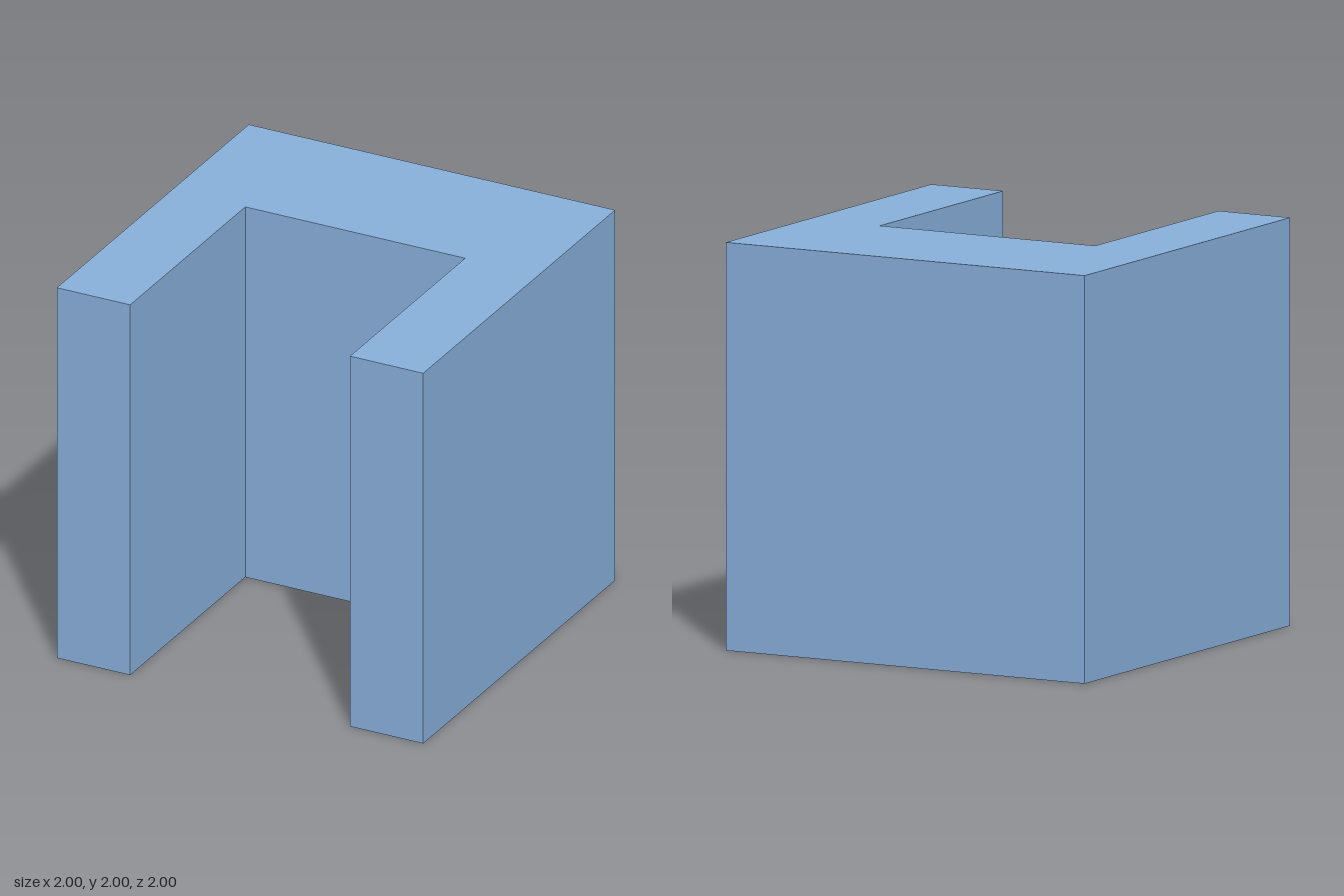
import * as THREE from 'three';

const SIZE = 2;       // outer width, depth and height
const WALL = 0.4;     // thickness of each side arm
const BACK = 0.8;     // thickness of the back

export function createModel() {
  const group = new THREE.Group();
  group.name = 'channelBlock';

  // U-shaped plan, open to the front (plan y is -z)
  const h = SIZE / 2;
  const inner = h - WALL;
  const plan = new THREE.Shape([
    [-h, -h], [-inner, -h], [-inner, h - BACK], [inner, h - BACK],
    [inner, -h], [h, -h], [h, h], [-h, h],
  ].map(([x, y]) => new THREE.Vector2(x, y)));

  // Extrude the plan upwards from the ground
  const geometry = new THREE.ExtrudeGeometry(plan, { depth: SIZE, bevelEnabled: false });
  geometry.rotateX(-Math.PI / 2);

  const block = new THREE.Mesh(
    geometry,
    new THREE.MeshStandardMaterial({ color: 0x8ab2de }),
  );
  block.name = 'uShapedBlock';
  group.add(block);
  return group;
}
